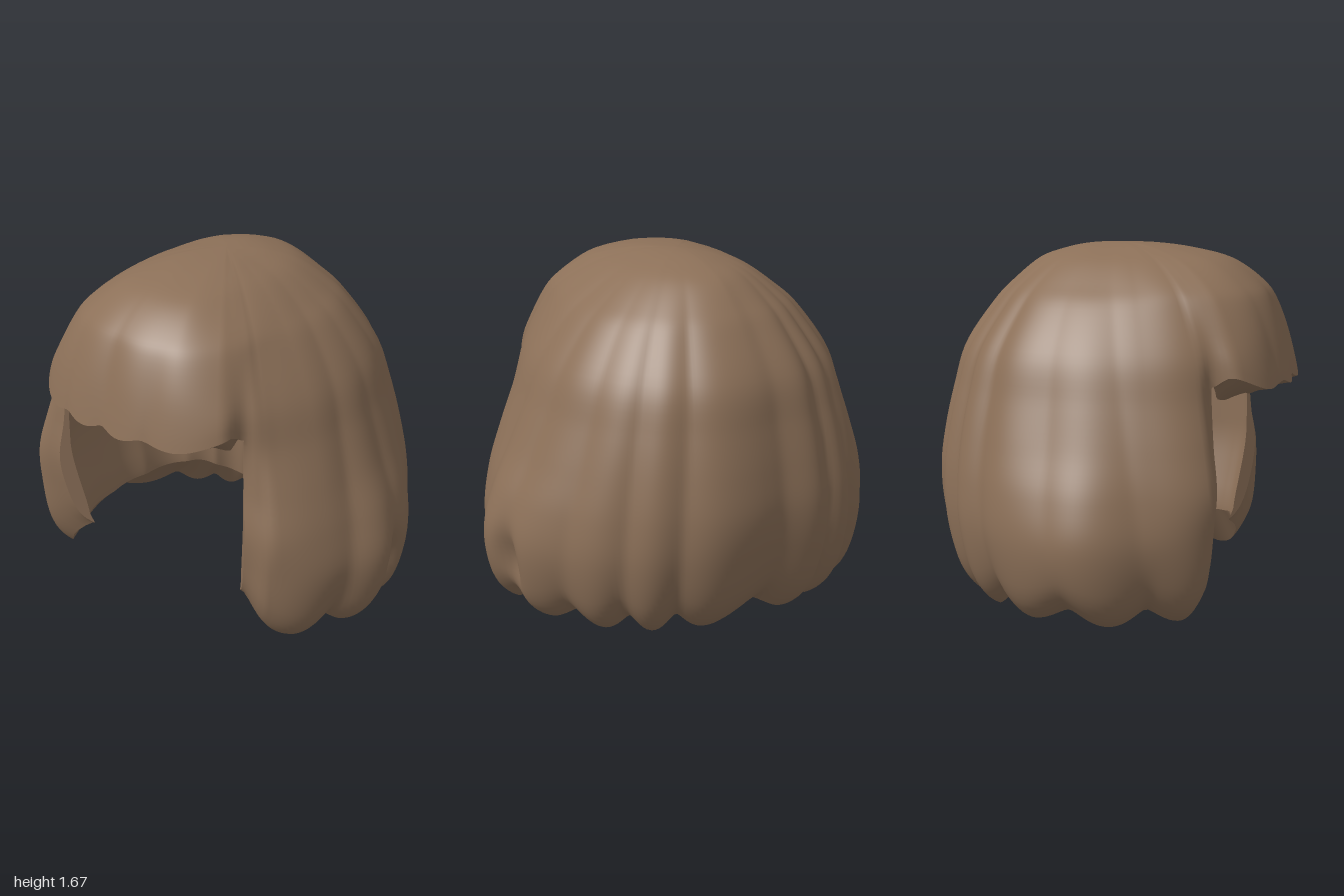
import * as THREE from 'three';

const COLS = 256, CUT_ROW = 36, ROWS = 70, CORNER = 32; // CORNER columns either side of the front open up
const CUT_S = 6.65;                                     // level at which the fringe ends

// Radius of the hair at each height, for a few directions from front to back
const HEIGHT = [1.68, 1.673, 1.65, 1.6, 1.5, 1.4, 1.2, 1.0, 0.8, 0.6, 0.4, 0.2, 0.05];
const LAST = HEIGHT.length - 1;
const ANGLES = [0, 0.4, 0.67, 0.785, 0.88, 1.2, 1.57, 1.95, 2.36, Math.PI];
const RADII = [
  [0, 0.20, 0.38, 0.55, 0.69, 0.755, 0.82, 0.86, 0.86, 0.86, 0.86, 0.86, 0.86],
  [0, 0.18, 0.34, 0.53, 0.68, 0.76, 0.84, 0.88, 0.86, 0.86, 0.86, 0.86, 0.86],
  [0, 0.15, 0.29, 0.46, 0.63, 0.72, 0.82, 0.86, 0.84, 0.84, 0.84, 0.84, 0.84],
  [0, 0.12, 0.26, 0.42, 0.59, 0.68, 0.77, 0.78, 0.80, 0.83, 0.80, 0.76, 0.71],
  [0, 0.11, 0.24, 0.39, 0.56, 0.65, 0.77, 0.82, 0.88, 0.93, 0.92, 0.89, 0.82],
  [0, 0.09, 0.20, 0.34, 0.49, 0.59, 0.72, 0.79, 0.86, 0.92, 0.95, 0.92, 0.85],
  [0, 0.08, 0.18, 0.31, 0.45, 0.56, 0.70, 0.78, 0.86, 0.95, 1.00, 0.97, 0.88],
  [0, 0.08, 0.19, 0.32, 0.46, 0.57, 0.71, 0.78, 0.85, 0.91, 0.93, 0.89, 0.81],
  [0, 0.10, 0.22, 0.35, 0.49, 0.59, 0.73, 0.80, 0.85, 0.88, 0.88, 0.83, 0.73],
  [0, 0.14, 0.26, 0.40, 0.52, 0.61, 0.74, 0.79, 0.83, 0.85, 0.82, 0.75, 0.63],
];
const LINING = [0.70, 0.70, 0.72, 0.77, 0.77, 0.70, 0.66, 0.65, 0.63, 0.60];

const bump = (x, centre, width) => Math.exp(-(((x - centre) / width) ** 2));
const smooth = THREE.MathUtils.smoothstep;

// Smooth interpolation through n values given by get(i)
function spline(get, n, x) {
  const i = Math.min(Math.floor(x), n - 2), t = x - i;
  const p0 = get(Math.max(i - 1, 0)), p1 = get(i), p2 = get(i + 1), p3 = get(Math.min(i + 2, n - 1));
  const m1 = (p2 - p0) / 2, m2 = (p3 - p1) / 2;
  return (2 * t ** 3 - 3 * t * t + 1) * p1 + (t ** 3 - 2 * t * t + t) * m1 +
    (3 * t * t - 2 * t ** 3) * p2 + (t ** 3 - t * t) * m2;
}

function angleIndex(a) {
  let k = 0;
  while (k < ANGLES.length - 2 && a > ANGLES[k + 1]) k++;
  return k + (a - ANGLES[k]) / (ANGLES[k + 1] - ANGLES[k]);
}

// Uneven lock pattern: rounded locks with narrow grooves between them
function locks(th) {
  const w = Math.sin(8 * th + 0.9 * Math.sin(3 * th + 0.5) + 0.5 * Math.sin(5 * th));
  return Math.sqrt(w * w + 0.03) - 0.66;
}

const place = (th, r, y) => new THREE.Vector3(Math.sin(th) * r, y, Math.cos(th) * r);
const theta = i => { const th = (i / COLS) * Math.PI * 2; return th > Math.PI ? th - Math.PI * 2 : th; };
const level = j => j <= CUT_ROW ? (j / CUT_ROW) * CUT_S
  : CUT_S + ((j - CUT_ROW) / (ROWS - CUT_ROW)) * (LAST - CUT_S);
const isFront = i => i < CORNER || i > COLS - CORNER;
const frontness = a => 1 - smooth(a, 0.7, 0.785);
const height = s => spline(q => HEIGHT[q], HEIGHT.length, s);

function outerRadius(th, s) {
  const u = angleIndex(Math.abs(th));
  return spline(k => spline(q => RADII[k][q], HEIGHT.length, s), ANGLES.length, u);
}

function outer(i, j) {
  const th = theta(i), s = level(j), a = Math.abs(th);
  let r = outerRadius(th, s), y = height(s);
  const front = frontness(a), corner = bump(a, 0.785, 0.1);
  // Locks sweep forward as they fall and deepen toward the hem, which curls in
  const swept = th - 0.35 * Math.sin(th) * (1 - s / LAST);
  const strength = 0.6 + 0.3 * Math.sin(2 * th + 1);
  r += 0.06 * locks(swept) * strength * smooth(s, 1.8, 10) * (1 - 0.4 * front) * (1 - 0.7 * corner);
  r -= 0.04 * Math.max(0, (s - 11.3) / 0.7) ** 2;
  // Tucked lock on the left side, and the groove behind the left front lock
  r -= 0.07 * bump(th, 1.66, 0.07) * bump(y, 0.3, 0.14);
  r -= 0.03 * bump(th, 0.87, 0.035) * bump(y, 0.75, 0.25);
  // Scalloped hems, lifted at the inner corners of the curtains
  if (isFront(i)) y += (-0.03 * locks(th) - 0.015 + 0.05 * smooth(a, 0.4, 0.785)) * front * smooth(s, 5.5, CUT_S);
  else y += (-0.08 * locks(th) * (1 - corner) + 0.16 * corner - 0.012 * smooth(a, 1.8, 2.6)) * smooth(s, 9.5, LAST);
  return place(th, Math.max(r, 0), y);
}

function inner(i, j) {
  const th = theta(i), s = level(j), a = Math.abs(th);
  let wall = spline(k => LINING[k], ANGLES.length, angleIndex(a));
  const back = smooth(a, 2.1, 2.8);
  wall += 0.015 * locks(th) * smooth(a, 1, 1.5) - 0.08 * (1 - back) * smooth(s, 9, LAST);
  const r = Math.min(outerRadius(th, s) * 0.96, wall);
  const rim = 0.24 - 0.15 * back;
  let y = rim + (height(s) - 0.05) * (1.605 - rim) / 1.63;
  if (isFront(i)) y -= (0.09 + 0.03 * locks(th * 1.6)) * frontness(a) * smooth(s, 5.5, CUT_S);
  return place(th, r, y);
}

// Builds a grid surface from point(i, j); skip(i, j) leaves a cell open
function grid(nu, nv, point, { wrap = false, flip = false, skip = () => false } = {}) {
  const pos = [], index = [], cols = wrap ? nu : nu + 1;
  for (let j = 0; j <= nv; j++)
    for (let i = 0; i < cols; i++) pos.push(...point(i, j).toArray());
  for (let j = 0; j < nv; j++)
    for (let i = 0; i < nu; i++) {
      if (skip(i, j)) continue;
      const n = (i + 1) % cols;
      const a = j * cols + i, b = a + cols, c = (j + 1) * cols + n, d = j * cols + n;
      if (flip) index.push(a, c, b, a, d, c);
      else index.push(a, b, c, a, c, d);
    }
  const g = new THREE.BufferGeometry();
  g.setAttribute('position', new THREE.Float32BufferAttribute(pos, 3));
  g.setIndex(index);
  g.computeVertexNormals();
  // The crown is a single point, so it shares one straight normal
  if (wrap) for (let i = 0; i < cols; i++) g.attributes.normal.setXYZ(i, 0, flip ? -1 : 1, 0);
  return g;
}

export function createModel() {
  const group = new THREE.Group();
  group.name = 'bobHair';
  const brown = new THREE.MeshStandardMaterial({ color: 0x8c7058, side: THREE.DoubleSide });
  brown.name = 'hairBrown';
  const add = (name, geometry) => {
    const mesh = new THREE.Mesh(geometry, brown);
    mesh.name = name;
    group.add(mesh);
  };
  const opening = (i, j) => j >= CUT_ROW && (i < CORNER || i >= COLS - CORNER);

  // Hair surface and the lining around the head
  add('outerHair', grid(COLS, ROWS, outer, { wrap: true, skip: opening }));
  add('innerLining', grid(COLS, ROWS, inner, { wrap: true, flip: true, skip: opening }));

  // Undersides joining the outer hem to the lining
  const hem = (start, row) => (i, j) => {
    const c = (start + i + COLS) % COLS;
    return outer(c, row).lerp(inner(c, row), j / 5);
  };
  add('fringeUnderside', grid(CORNER * 2, 5, hem(-CORNER, CUT_ROW)));
  add('hemUnderside', grid(COLS - CORNER * 2, 5, hem(CORNER, ROWS)));

  // Narrow edges of the two front curtains
  for (const [name, col, flip] of [['leftCurtainEdge', CORNER, false], ['rightCurtainEdge', COLS - CORNER, true]])
    add(name, grid(1, ROWS - CUT_ROW, (i, j) => (i ? outer : inner)(col, CUT_ROW + j), { flip }));

  return group;
}
